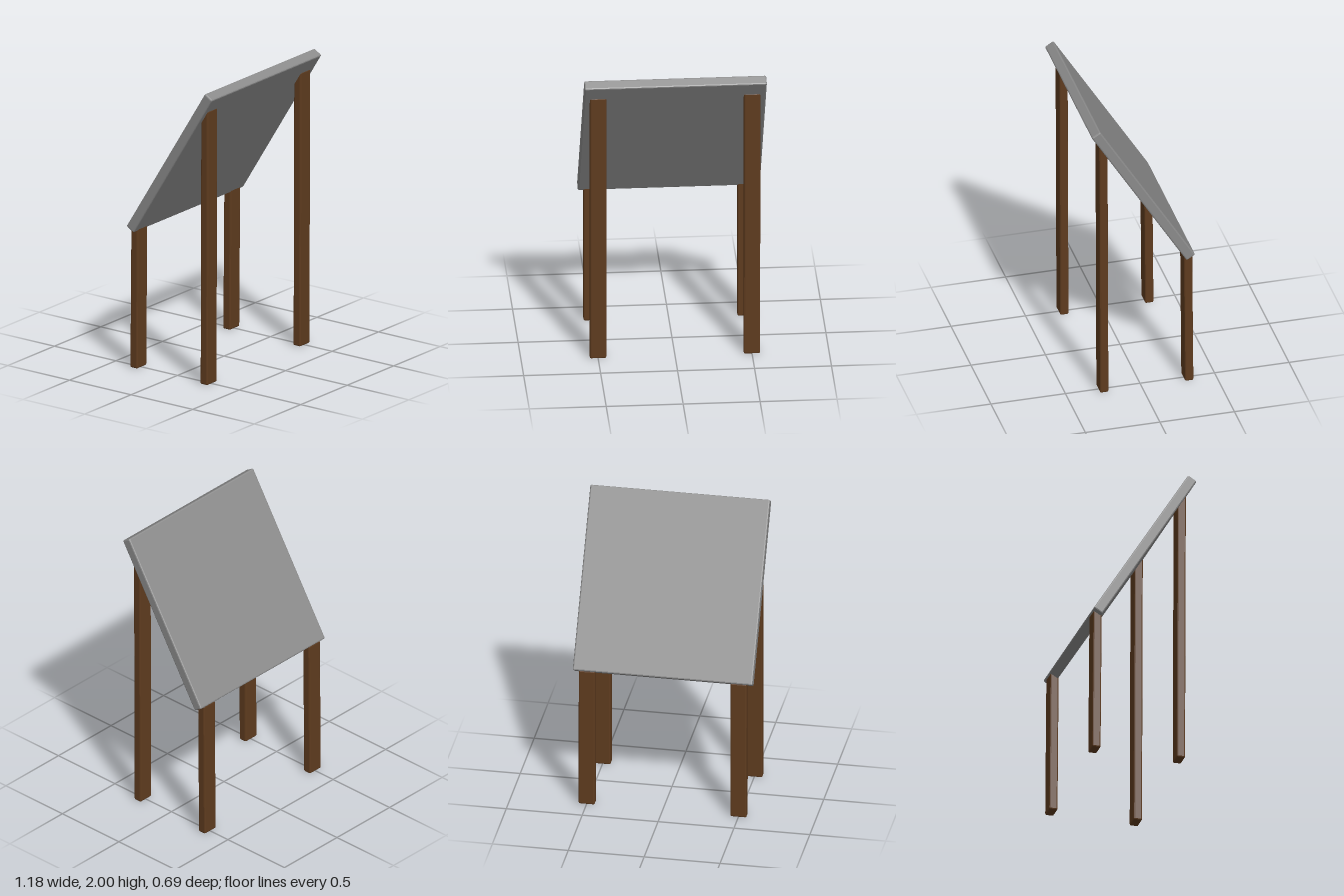
import * as THREE from 'three';
import { RoundedBoxGeometry } from 'three/addons/geometries/RoundedBoxGeometry.js';

export function createModel() {
  const model = new THREE.Group();
  model.name = 'slantedBoardOnLegs';
  const grey = new THREE.MeshStandardMaterial({ color: 0x8a8a8a, flatShading: true });
  const wood = new THREE.MeshStandardMaterial({ color: 0x5e3b1e, flatShading: true });

  // Box with narrow faceted bevels, tilted about x
  const addSlab = (name, size, material, position, tilt) => {
    const mesh = new THREE.Mesh(new RoundedBoxGeometry(...size, 1, 0.009), material);
    mesh.name = name;
    mesh.position.set(...position);
    mesh.rotation.x = tilt;
    model.add(mesh);
  };

  // Sloping board: high edge at the front, low edge at the back
  addSlab('board', [1.184, 1.211, 0.068], grey, [0, 1.471, 0], Math.atan2(0.635, 1.025));

  // Four posts leaning very slightly forward, their tops sunk into the board
  for (const [side, sx] of [['Left', 1], ['Right', -1]]) {
    addSlab('frontLeg' + side, [0.107, 1.872, 0.057], wood, [sx * 0.5, 0.936, 0.255], 0.003);
    addSlab('backLeg' + side, [0.107, 0.97, 0.057], wood, [sx * 0.5, 0.485, -0.314], 0.008);
  }
  return model;
}
